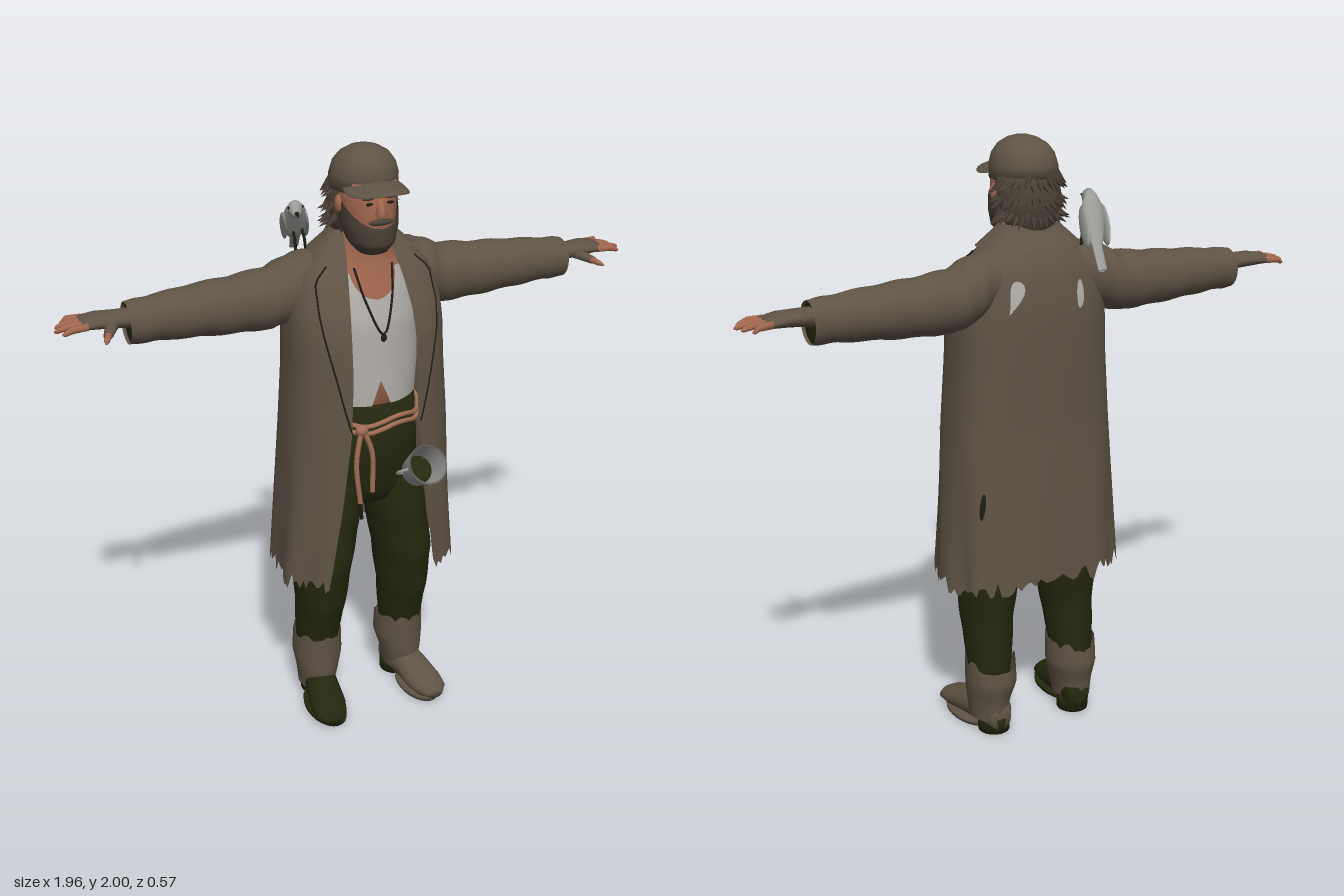
import * as THREE from 'three';
import { mergeVertices } from 'three/addons/utils/BufferGeometryUtils.js';

const V = (x, y, z) => new THREE.Vector3(x, y, z);
const { lerp, clamp } = THREE.MathUtils;
const TAU = Math.PI * 2;
const spow = (v, p) => Math.sign(v) * Math.abs(v) ** p;
const hash = (n) => { const s = Math.sin(n * 127.1 + 3.7) * 4375.85; return s - Math.floor(s); };

export function createModel() {
  const model = new THREE.Group();
  const colour = (name, color) => {
    const m = new THREE.MeshStandardMaterial({ color, side: THREE.DoubleSide });
    m.name = name;
    return m;
  };
  const cloth = colour('coatBrown', 0x5f5345);
  const hairy = colour('hairBrown', 0x4b4136);
  const green = colour('trouserGreen', 0x25280f);
  const skin = colour('skin', 0xa0664e);
  const linen = colour('shirtGrey', 0xb0ada8);
  const dark = colour('darkSeam', 0x1e1b15);
  const ropeMat = colour('rope', 0xa06c54);
  const tin = colour('tinGrey', 0x9a9a97);

  const add = (name, geo, mat, parent = model) => {
    const m = new THREE.Mesh(geo, mat);
    m.name = name;
    parent.add(m);
    return m;
  };

  // Surface from a rule fn(u, v), welded, smooth and facing outward
  function grid(name, fn, nu, nv, mat) {
    const pos = [], idx = [];
    for (let j = 0; j <= nv; j++) for (let i = 0; i <= nu; i++) pos.push(...fn(i / nu, j / nv).toArray());
    for (let j = 0; j < nv; j++) for (let i = 0; i < nu; i++) {
      const a = j * (nu + 1) + i, c = a + nu + 1;
      idx.push(a, a + 1, c, a + 1, c + 1, c);
    }
    const p = (i) => V(...pos.slice(i * 3, i * 3 + 3));
    let volume = 0;
    for (let i = 0; i < idx.length; i += 3) volume += p(idx[i]).dot(p(idx[i + 1]).cross(p(idx[i + 2])));
    if (volume < 0) idx.reverse();
    let g = new THREE.BufferGeometry();
    g.setAttribute('position', new THREE.Float32BufferAttribute(pos, 3));
    g.setIndex(idx);
    g = mergeVertices(g, 1e-5);
    g.computeVertexNormals();
    return add(name, g, mat);
  }

  // Elliptical sections [x, y, z, ra, rb] along an axis, ends closed unless open
  function loft(name, axis, rows, mat, { n = 20, open = false, wrinkle = 0 } = {}) {
    const full = open ? rows : [[...rows[0].slice(0, 3), 0, 0], ...rows, [...rows.at(-1).slice(0, 3), 0, 0]];
    const steps = wrinkle ? 6 : 1, nv = (full.length - 1) * steps;
    return grid(name, (u, v) => {
      const t = v * (full.length - 1), k = Math.min(Math.floor(t + 1e-6), full.length - 2);
      const [x, y, z, a, b] = full[k].map((q, i) => lerp(q, full[k + 1][i], t - k));
      const w = 1 + wrinkle * Math.sin(v * 42 + 2 * Math.sin(u * TAU));
      const c = Math.cos(u * TAU) * a * w, s = Math.sin(u * TAU) * b * w;
      return axis === 'x' ? V(x, y + c, z + s) : axis === 'y' ? V(x + c, y, z + s) : V(x + c, y + s, z);
    }, n, nv, mat);
  }

  const rowAt = (rows, y) => {
    let k = 0;
    while (k < rows.length - 2 && y > rows[k + 1][0]) k++;
    const t = clamp((y - rows[k][0]) / (rows[k + 1][0] - rows[k][0]), 0, 1);
    return rows[k].map((q, i) => lerp(q, rows[k + 1][i], t));
  };
  // Shell round the front of sections [y, cx, cz, rx, rz] between two edge rules
  const shell = (name, rows, lo, hi, span, mat, off = 0.006, nu = 40) => grid(name, (u, v) => {
    const a = (u * 2 - 1) * span, y = lerp(lo(a), hi(a), v), [, cx, cz, rx, rz] = rowAt(rows, y);
    return V(cx + (rx + off) * Math.sin(a), y, cz + (rz + off) * Math.cos(a));
  }, nu, 14, mat);

  const rod = (name, pts, r, mat, closed = false) => add(name, new THREE.TubeGeometry(
    new THREE.CatmullRomCurve3(pts.map((q) => V(...q)), closed), closed ? 60 : 24, r, 8, closed), mat);
  const ball = (name, [x, y, z], [a, b, c], mat) => {
    const m = add(name, new THREE.SphereGeometry(1, 20, 14), mat);
    m.position.set(x, y, z);
    m.scale.set(a, b, c);
    return m;
  };

  // Coat rows: y, half width, front z, back z, half opening
  const coatRows = [
    [0.52, 0.315, 0.18, -0.23, 0.2], [0.85, 0.295, 0.178, -0.215, 0.15], [1.1, 0.28, 0.172, -0.2, 0.118],
    [1.3, 0.265, 0.168, -0.2, 0.11], [1.42, 0.262, 0.158, -0.198, 0.11], [1.5, 0.255, 0.135, -0.193, 0.105],
    [1.6, 0.225, 0.085, -0.175, 0.092], [1.66, 0.16, 0.045, -0.145, 0.08], [1.73, 0.09, -0.005, -0.1, 0.07]];
  const coatPoint = (u, y, off = 0) => {
    const [, hw, zf, zb, gap] = rowAt(coatRows, y), p = 0.75, zm = -0.03;
    const a = u * (Math.PI - Math.asin((gap / hw) ** (1 / p)));
    const fold = 1 + 0.025 * Math.sin(u * 24) * clamp((1.1 - y) * 2, 0, 1), c = Math.cos(a);
    return V((hw + off) * fold * spow(Math.sin(a), p), y, zm - ((c > 0 ? zm - zb : zf - zm) + off) * spow(c, p) * fold);
  };
  const hem = (u) => 0.545 + 0.06 * hash(Math.round(u * 52)) - 0.02 * Math.abs(u);
  grid('coat', (u, v) => coatPoint(u * 2 - 1, lerp(1.725, hem(u * 2 - 1), v)), 104, 40, cloth);
  grid('coatCollar', (u, v) => coatPoint((u * 2 - 1) * 0.97, lerp(1.735, 1.665, v), 0.008 + 0.008 * v), 40, 4, cloth);

  // Repairs and tears lying on the coat
  const patch = (name, u0, y0, ru, ry, mat, lean = 0) => grid(name, (u, v) => {
    const c = Math.cos(u * TAU) * v, s = Math.sin(u * TAU) * v;
    return coatPoint(u0 + ru * c + lean * s * s, y0 + ry * s - ry * 0.5 * c, 0.007);
  }, 18, 3, mat);
  patch('backPatchLeft', 0.13, 1.53, 0.035, 0.045, linen, 0.03);
  patch('backPatchRight', -0.11, 1.52, 0.022, 0.04, linen);
  patch('coatTear', 0.3, 0.86, 0.018, 0.04, dark);
  patch('frontTear', 0.93, 1.37, 0.02, 0.045, green);

  // Torso, shirt and necklace
  const torsoRows = [[1.14, 0, -0.02, 0.165, 0.145], [1.3, 0, -0.025, 0.18, 0.145], [1.45, 0, -0.03, 0.18, 0.145],
    [1.55, 0, -0.035, 0.165, 0.125], [1.63, 0, -0.035, 0.12, 0.095], [1.68, 0, -0.015, 0.075, 0.07], [1.76, 0, 0, 0.062, 0.065]];
  loft('torso', 'y', torsoRows.map(([y, x, z, a, b]) => [x, y, z, a, b]), skin, { n: 32 });
  shell('shirt', torsoRows, (a) => 1.165 + 0.09 * Math.max(0, 1 - Math.abs(a) * 5) + 0.015 * hash(Math.round(a * 14)),
    (a) => 1.53 + Math.min(0.085, a * a * 0.22), 1.1, linen);
  rod('necklace', [[-0.065, 1.63, 0.062], [-0.045, 1.53, 0.108], [0.008, 1.42, 0.13], [0.045, 1.53, 0.108], [0.065, 1.63, 0.062]], 0.004, dark);
  ball('pendant', [0.008, 1.41, 0.128], [0.01, 0.014, 0.006], dark);

  // Trousers seat, waistband and rope belt
  loft('trouserSeat', 'y', [[0, 0.8, -0.03, 0.17, 0.1], [0, 0.86, -0.03, 0.195, 0.13], [0, 1, -0.02, 0.185, 0.155],
    [0, 1.18, -0.02, 0.172, 0.155]], green, { n: 32 });
  for (const y of [1.1, 1.125]) {
    const loop = Array.from({ length: 24 }, (_, i) => [0.185 * Math.sin(i / 24 * TAU), y + 0.01 * Math.sin(i * 1.3), -0.02 + 0.164 * Math.cos(i / 24 * TAU)]);
    rod('ropeBelt', loop, 0.008, ropeMat, true);
  }
  ball('ropeKnot', [-0.075, 1.11, 0.145], [0.022, 0.02, 0.018], ropeMat);
  rod('ropeEndLong', [[-0.08, 1.11, 0.15], [-0.1, 1.0, 0.158], [-0.09, 0.86, 0.165]], 0.009, ropeMat);
  rod('ropeEndShort', [[-0.07, 1.11, 0.15], [-0.045, 1.03, 0.158], [-0.045, 0.89, 0.16]], 0.009, ropeMat);
  rod('frayedEnd', [[-0.09, 0.87, 0.165], [-0.085, 0.8, 0.165]], 0.006, dark);

  // Tin mug hung on the belt
  const mug = new THREE.Group();
  mug.name = 'mug';
  mug.position.set(0.11, 0.935, 0.165);
  mug.rotation.x = 0.93;
  model.add(mug);
  const profile = [[0, 0], [0.05, 0], [0.066, 0.11], [0.06, 0.109], [0.046, 0.012]].map((q) => new THREE.Vector2(...q));
  add('mugBody', new THREE.LatheGeometry(profile, 28), tin, mug);
  add('mugInside', new THREE.CylinderGeometry(0.047, 0.046, 0.006, 24), green, mug).position.y = 0.018;
  const handle = add('mugHandle', new THREE.TorusGeometry(0.03, 0.005, 8, 16, Math.PI), tin, mug);
  handle.position.set(-0.057, 0.055, 0);
  handle.rotation.z = Math.PI / 2;

  for (const s of [1, -1]) {
    const at = (rows) => rows.map(([x, ...r]) => [x * s, ...r]);
    const side = s > 0 ? 'left' : 'right';
    // Lapel and its seam
    const lapelWidth = (y) => 0.2 * clamp((y - 1.12) / 0.48, 0, 1) * (y > 1.6 ? 1 - (y - 1.6) * 5 : 1);
    grid(side + 'Lapel', (u, v) => { const y = lerp(1.12, 1.68, v); return coatPoint(s * (1 - u * lapelWidth(y)), y, 0.009); }, 6, 24, cloth);
    rod(side + 'LapelSeam', Array.from({ length: 13 }, (_, i) => {
      const y = lerp(1.12, 1.64, i / 12);
      return coatPoint(s * (1 - lapelWidth(y)), y, 0.009).toArray();
    }), 0.003, dark);

    // Sleeve with dark opening
    loft(side + 'Sleeve', 'x', at([[0.1, 1.585, -0.065, 0.07, 0.07], [0.17, 1.57, -0.07, 0.095, 0.09], [0.23, 1.545, -0.075, 0.105, 0.1],
      [0.3, 1.52, -0.08, 0.1, 0.092], [0.42, 1.515, -0.08, 0.092, 0.085], [0.55, 1.515, -0.08, 0.083, 0.08],
      [0.68, 1.513, -0.076, 0.072, 0.066], [0.76, 1.51, -0.074, 0.068, 0.061]]), cloth, { n: 24, open: true, wrinkle: 0.025 });
    loft(side + 'SleeveInside', 'x', at([[0.745, 1.511, -0.074, 0.066, 0.059], [0.75, 1.511, -0.074, 0.066, 0.059]]), green);

    // Fingerless glove, fingers and thumb
    loft(side + 'Glove', 'x', at([[0.72, 1.525, -0.075, 0.032, 0.038], [0.79, 1.53, -0.073, 0.027, 0.042],
      [0.85, 1.533, -0.078, 0.023, 0.054], [0.9, 1.53, -0.082, 0.016, 0.053]]), cloth);
    for (let i = 0; i < 4; i++) {
      const z = -0.124 + i * 0.029, tip = [0.95, 0.972, 0.982, 0.965][i], tz = z + (i - 1.8) * 0.005;
      loft(side + 'Finger', 'x', at([[0.885, 1.531, z, 0.012, 0.012], [0.93, 1.53, tz, 0.011, 0.011],
        [tip - 0.008, 1.521, tz, 0.008, 0.008], [tip, 1.519, tz, 0.003, 0.003]]), skin, { n: 10 });
    }
    loft(side + 'ThumbGlove', 'z', at([[0.8, 1.525, -0.06, 0.025, 0.018], [0.825, 1.517, -0.015, 0.019, 0.015], [0.838, 1.512, 0.012, 0.015, 0.013]]), cloth, { n: 10 });
    loft(side + 'Thumb', 'z', at([[0.836, 1.513, 0.008, 0.012, 0.011], [0.848, 1.508, 0.035, 0.01, 0.009], [0.855, 1.505, 0.052, 0.004, 0.004]]), skin, { n: 10 });

    // Trouser leg, ragged cuff and boot
    loft(side + 'TrouserLeg', 'y', at([[0.16, 0.14, -0.06, 0.06, 0.07], [0.16, 0.26, -0.06, 0.074, 0.086], [0.156, 0.4, -0.035, 0.086, 0.105],
      [0.15, 0.56, -0.03, 0.1, 0.128], [0.125, 0.72, -0.03, 0.103, 0.13], [0.105, 0.88, -0.03, 0.1, 0.125]]), green, { n: 24, wrinkle: 0.012 });
    shell(side + 'BootShaft', [[0.06, s * 0.165, -0.06, 0.06, 0.075], [0.12, s * 0.162, -0.058, 0.07, 0.084], [0.18, s * 0.158, -0.068, 0.083, 0.092],
      [0.28, s * 0.158, -0.062, 0.08, 0.09]], () => 0.05, (a) => 0.235 + 0.055 * hash(Math.round(Math.abs(a) * 3.2) + s), Math.PI, cloth, 0.003, 32);
    loft(side + 'Boot', 'z', at([[0.155, 0.055, -0.14, 0.035, 0.04], [0.157, 0.068, -0.115, 0.052, 0.062], [0.163, 0.07, -0.04, 0.056, 0.064],
      [0.175, 0.06, 0.03, 0.06, 0.053], [0.185, 0.045, 0.1, 0.064, 0.038], [0.192, 0.037, 0.15, 0.055, 0.029],
      [0.196, 0.03, 0.178, 0.028, 0.018]]), s > 0 ? cloth : green, { n: 20 });
    loft(side + 'Sole', 'y', at([[0.18, 0.002, 0.055, 0.065, 0.12], [0.18, 0.018, 0.055, 0.066, 0.122]]), s > 0 ? cloth : green, { n: 24 });
    loft(side + 'Heel', 'y', at([[0.157, 0, -0.085, 0.054, 0.056], [0.157, 0.055, -0.085, 0.055, 0.058]]), green, { n: 20 });

    // Eye, brow and ear
    ball(side + 'Eye', [s * 0.035, 1.842, 0.112], [0.012, 0.005, 0.004], dark);
    ball(side + 'Brow', [s * 0.037, 1.86, 0.11], [0.022, 0.006, 0.006], hairy);
    ball(side + 'Ear', [s * 0.093, 1.825, 0.01], [0.012, 0.028, 0.018], skin);
  }

  // Head, nose and beard
  loft('face', 'y', [[0, 1.69, 0.03, 0.05, 0.06], [0, 1.74, 0.03, 0.072, 0.088], [0, 1.79, 0.022, 0.085, 0.1],
    [0, 1.84, 0.015, 0.09, 0.1], [0, 1.9, 0.01, 0.095, 0.1]], skin, { n: 32 });
  loft('nose', 'y', [[0, 1.8, 0.12, 0.012, 0.012], [0, 1.808, 0.125, 0.019, 0.024], [0, 1.83, 0.118, 0.012, 0.018], [0, 1.855, 0.108, 0.009, 0.01]], skin, { n: 14 });
  shell('beard', [[1.668, 0, 0.055, 0, 0], [1.677, 0, 0.052, 0.045, 0.055], [1.71, 0, 0.045, 0.073, 0.088], [1.76, 0, 0.03, 0.088, 0.106],
    [1.85, 0, 0.018, 0.093, 0.104]], () => 1.668, (a) => 1.768 + 0.035 * Math.min(1.9, a * a), 1.9, hairy, 0);
  const moustache = ball('moustache', [0, 1.787, 0.122], [0.042, 0.01, 0.012], hairy);
  moustache.geometry.translate(0, -0.1, 0);

  // Shaggy hair
  loft('hair', 'y', [[0, 1.69, -0.055, 0.055, 0.05], [0, 1.74, -0.055, 0.088, 0.075], [0, 1.8, -0.05, 0.103, 0.087],
    [0, 1.88, -0.035, 0.106, 0.09]], hairy, { n: 28 });
  for (let i = 0; i < 60; i++) {
    const a = lerp(-1.75, 1.75, (i % 20) / 19), y = 1.75 + Math.floor(i / 20) * 0.05 + hash(i) * 0.02;
    const tuft = add('hairTuft', new THREE.ConeGeometry(0.02, 0.06 + hash(i + 90) * 0.02, 5), hairy);
    tuft.position.set(0.103 * Math.sin(a), y, -0.042 - 0.085 * Math.cos(a));
    tuft.quaternion.setFromUnitVectors(V(0, 1, 0), V(Math.sin(a) * 0.75, -0.8 + hash(i + 40) * 0.6, -Math.cos(a) * 0.45).normalize());
  }

  // Cap and peak
  loft('cap', 'y', [[0, 1.868, -0.012, 0.107, 0.114], [0, 1.91, -0.01, 0.107, 0.115], [0, 1.945, -0.008, 0.097, 0.105],
    [0, 1.972, -0.005, 0.077, 0.083], [0, 1.99, -0.003, 0.047, 0.052], [0, 1.998, 0, 0.018, 0.02]], cloth, { n: 32 });
  grid('capPeak', (u, v) => {
    const a = u * TAU, x = 0.1 * Math.cos(a) * Math.sin(v * Math.PI), z = 0.12 * Math.sin(a) * Math.sin(v * Math.PI);
    return V(x, 1.902 - 0.12 * z - 2.8 * x * x + 0.008 * Math.cos(v * Math.PI), 0.08 + z);
  }, 28, 12, cloth);

  // Bird on the right shoulder
  loft('birdBody', 'z', [[-0.207, 1.79, -0.048, 0.014, 0.012], [-0.203, 1.8, -0.068, 0.024, 0.024], [-0.198, 1.79, -0.09, 0.027, 0.031],
    [-0.188, 1.758, -0.115, 0.041, 0.05], [-0.178, 1.728, -0.145, 0.043, 0.046], [-0.165, 1.695, -0.18, 0.03, 0.028],
    [-0.152, 1.665, -0.21, 0.018, 0.012], [-0.132, 1.608, -0.275, 0.016, 0.006]], tin, { n: 18 });
  loft('birdBeak', 'z', [[-0.207, 1.791, -0.05, 0.008, 0.007], [-0.21, 1.784, -0.026, 0.001, 0.001]], dark, { n: 8 });
  for (const s of [1, -1]) {
    const wing = ball('birdWing', [-0.175 + s * 0.037, 1.722, -0.155], [0.009, 0.03, 0.08], tin);
    wing.rotation.set(-0.75, -0.25, 0);
    ball('birdEye', [-0.204 + s * 0.023, 1.806, -0.066], [0.004, 0.004, 0.004], dark);
    rod('birdLeg', [[-0.18 + s * 0.015, 1.72, -0.12], [-0.178 + s * 0.016, 1.69, -0.105], [-0.176 + s * 0.017, 1.64, -0.1]], 0.005, dark);
  }
  return model;
}
